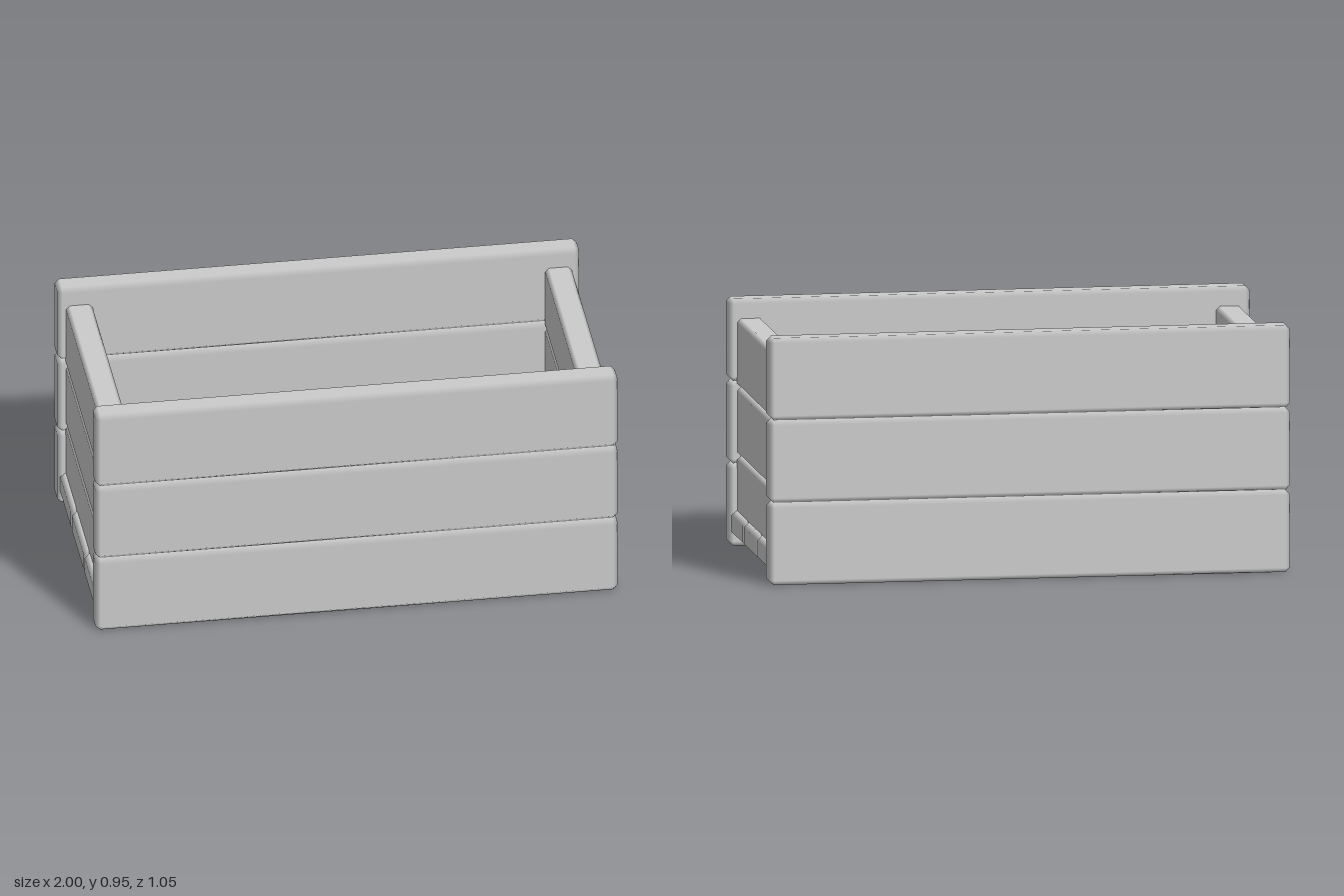
import * as THREE from 'three';

const material = new THREE.MeshStandardMaterial({ color: 0xcccccc });

// Box with chamfered edges: flat main faces, softly blended bevels
function chamferBox(w, h, d, c) {
  const half = [w / 2, h / 2, d / 2];
  const positions = [], normals = [], index = [];
  // One vertex per corner and main face, pulled in on the two other axes
  for (let corner = 0; corner < 8; corner++) {
    for (let axis = 0; axis < 3; axis++) {
      for (let k = 0; k < 3; k++) {
        const s = corner & (1 << k) ? 1 : -1;
        positions.push(s * (half[k] - (k === axis ? 0 : c)));
        normals.push(k === axis ? s : 0);
      }
    }
  }
  const point = (i) => new THREE.Vector3().fromArray(positions, i * 3);
  // Every facet is convex around the centre, so wind it to face outwards
  const tri = (a, b, e) => {
    const pa = point(a);
    const n = point(b).sub(pa).cross(point(e).sub(pa));
    if (n.dot(pa) > 0) index.push(a, b, e);
    else index.push(a, e, b);
  };
  const quad = (a, b, e, f) => { tri(a, b, e); tri(a, e, f); };
  const id = (corner, axis) => corner * 3 + axis;
  for (let axis = 0; axis < 3; axis++) {
    const u = 1 << ((axis + 1) % 3), v = 1 << ((axis + 2) % 3), t = 1 << axis;
    // Two main faces
    for (const base of [0, t]) {
      quad(id(base, axis), id(base | u, axis), id(base | u | v, axis), id(base | v, axis));
    }
    // Four bevels running along this axis
    const a1 = (axis + 1) % 3, a2 = (axis + 2) % 3;
    for (const base of [0, u, v, u | v]) {
      quad(id(base, a1), id(base | t, a1), id(base | t, a2), id(base, a2));
    }
  }
  // Corner triangles
  for (let corner = 0; corner < 8; corner++) tri(id(corner, 0), id(corner, 1), id(corner, 2));

  const geometry = new THREE.BufferGeometry();
  geometry.setAttribute('position', new THREE.Float32BufferAttribute(positions, 3));
  geometry.setAttribute('normal', new THREE.Float32BufferAttribute(normals, 3));
  geometry.setIndex(index);
  return geometry;
}

export function createModel() {
  const crate = new THREE.Group();
  crate.name = 'plankCrate';

  const add = (name, geometry, x, y, z) => {
    const mesh = new THREE.Mesh(geometry, material);
    mesh.name = name;
    mesh.position.set(x, y, z);
    crate.add(mesh);
  };

  const long = chamferBox(2, 0.315, 0.1, 0.018);
  const end = chamferBox(0.102, 0.263, 0.9, 0.015);
  const floor = chamferBox(1.98, 0.098, 0.314, 0.017);

  for (let i = 0; i < 3; i++) {
    // Long front and back boards
    const y = 0.158 + i * 0.316;
    add('frontBoard', long, 0, y, 0.477);
    add('backBoard', long, 0, y, -0.477);

    // Shorter end boards, set in from the ends and resting in the floor
    const endY = 0.216 + i * 0.263;
    add('leftEndBoard', end, 0.918, endY, 0);
    add('rightEndBoard', end, -0.918, endY, 0);

    // Floor boards
    add('floorBoard', floor, 0, 0.088, (i - 1) * 0.315);
  }
  return crate;
}
